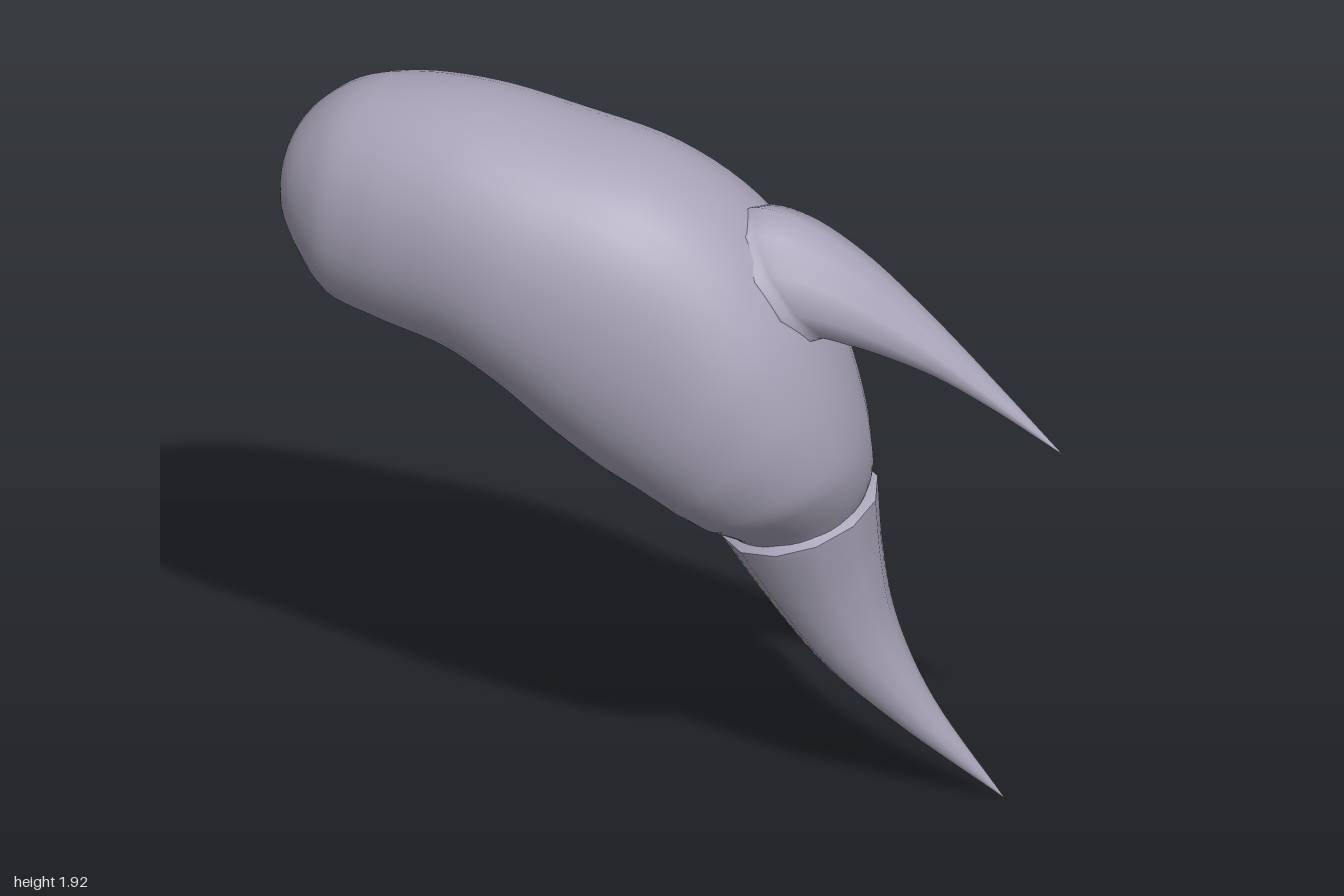
import * as THREE from 'three';

const skin = new THREE.MeshStandardMaterial({ color: 0xa8a3b7, side: THREE.DoubleSide });
skin.name = 'greyLilac';

// Smooth tube through sections [upperX, upperY, lowerX, lowerY, zCentre, zHalf, tilt]
function loft(name, sections, rings, sides, power = 1) {
  const curve = (f) => new THREE.CatmullRomCurve3(sections.map(f));
  const upper = curve((s) => new THREE.Vector3(s[0], s[1], 0));
  const lower = curve((s) => new THREE.Vector3(s[2], s[3], 0));
  const width = curve((s) => new THREE.Vector3(s[4], s[5], s[6] || 0));
  const pos = [], index = [];
  const round = (v) => Math.sign(v) * Math.abs(v) ** power;
  for (let i = 0; i <= rings; i++) {
    const u = upper.getPoint(i / rings), l = lower.getPoint(i / rings), w = width.getPoint(i / rings);
    for (let j = 0; j < sides; j++) {
      const a = (j / sides) * Math.PI * 2;
      const c = round(Math.cos(a)) / 2, s = round(Math.sin(a));
      pos.push(
        (u.x + l.x) / 2 + (u.x - l.x) * c,
        (u.y + l.y) / 2 + (u.y - l.y) * c - w.z * s,
        w.x + w.y * s);
      if (i < rings) {
        const k = i * sides + j, n = i * sides + (j + 1) % sides;
        index.push(k, n, k + sides, n, n + sides, k + sides);
      }
    }
  }
  const geo = new THREE.BufferGeometry();
  geo.setAttribute('position', new THREE.Float32BufferAttribute(pos, 3));
  geo.setIndex(index);
  geo.computeVertexNormals();
  const mesh = new THREE.Mesh(geo, skin);
  mesh.name = name;
  return mesh;
}

export function createModel() {
  const group = new THREE.Group();
  group.name = 'clawedToe';

  // Bent fleshy body, from the rounded end down to the lower claw
  group.add(loft('body', [
    [-1, 1.6, -1, 1.6, -0.04, 0],
    [-0.985, 1.7, -0.985, 1.5, -0.04, 0.1],
    [-0.94, 1.78, -0.94, 1.42, -0.04, 0.17],
    [-0.83, 1.87, -0.85, 1.32, -0.03, 0.245],
    [-0.68, 1.91, -0.7, 1.28, -0.02, 0.29],
    [-0.48, 1.92, -0.52, 1.245, 0, 0.315],
    [-0.25, 1.885, -0.4, 1.185, 0.01, 0.335],
    [0, 1.825, -0.26, 1.07, 0.005, 0.345],
    [0.2, 1.7, -0.13, 0.97, -0.01, 0.34],
    [0.36, 1.5, -0.02, 0.91, -0.02, 0.33],
    [0.45, 1.28, 0.04, 0.87, -0.03, 0.3],
    [0.495, 1.05, 0.09, 0.83, -0.055, 0.25],
    [0.48, 0.9, 0.13, 0.8, -0.115, 0.18, 0.03],
    [0.42, 0.8, 0.2, 0.74, -0.12, 0.12, 0.03],
    [0.32, 0.74, 0.32, 0.74, -0.12, 0],
  ], 70, 40, 0.94));

  // Upper claw, its base sunk into the body
  group.add(loft('upperClaw', [
    [0.16, 1.66, 0.38, 1.36, -0.03, 0.145],
    [0.205, 1.7, 0.43, 1.38, -0.03, 0.145],
    [0.31, 1.688, 0.5, 1.362, -0.04, 0.13],
    [0.46, 1.605, 0.57, 1.335, -0.055, 0.105],
    [0.64, 1.445, 0.69, 1.28, -0.08, 0.068],
    [0.82, 1.265, 0.83, 1.195, -0.1, 0.033],
    [0.995, 1.09, 0.995, 1.09, -0.11, 0],
  ], 30, 10));

  // Lower claw with a narrow rim around the body
  const base = [0.503, 0.88, 0.11, 0.785, -0.12, 0.2, 0.04];
  group.add(loft('lowerClawRim', [[0.46, 0.895, 0.15, 0.82, -0.12, 0.16, 0.03], base], 2, 12));
  group.add(loft('lowerClaw', [
    base,
    [0.507, 0.7, 0.2, 0.62, -0.15, 0.157, 0.03],
    [0.53, 0.5, 0.35, 0.4, -0.185, 0.112, 0.02],
    [0.61, 0.285, 0.52, 0.225, -0.225, 0.06, 0.01],
    [0.785, 0, 0.785, 0, -0.29, 0],
  ], 30, 12));

  return group;
}
